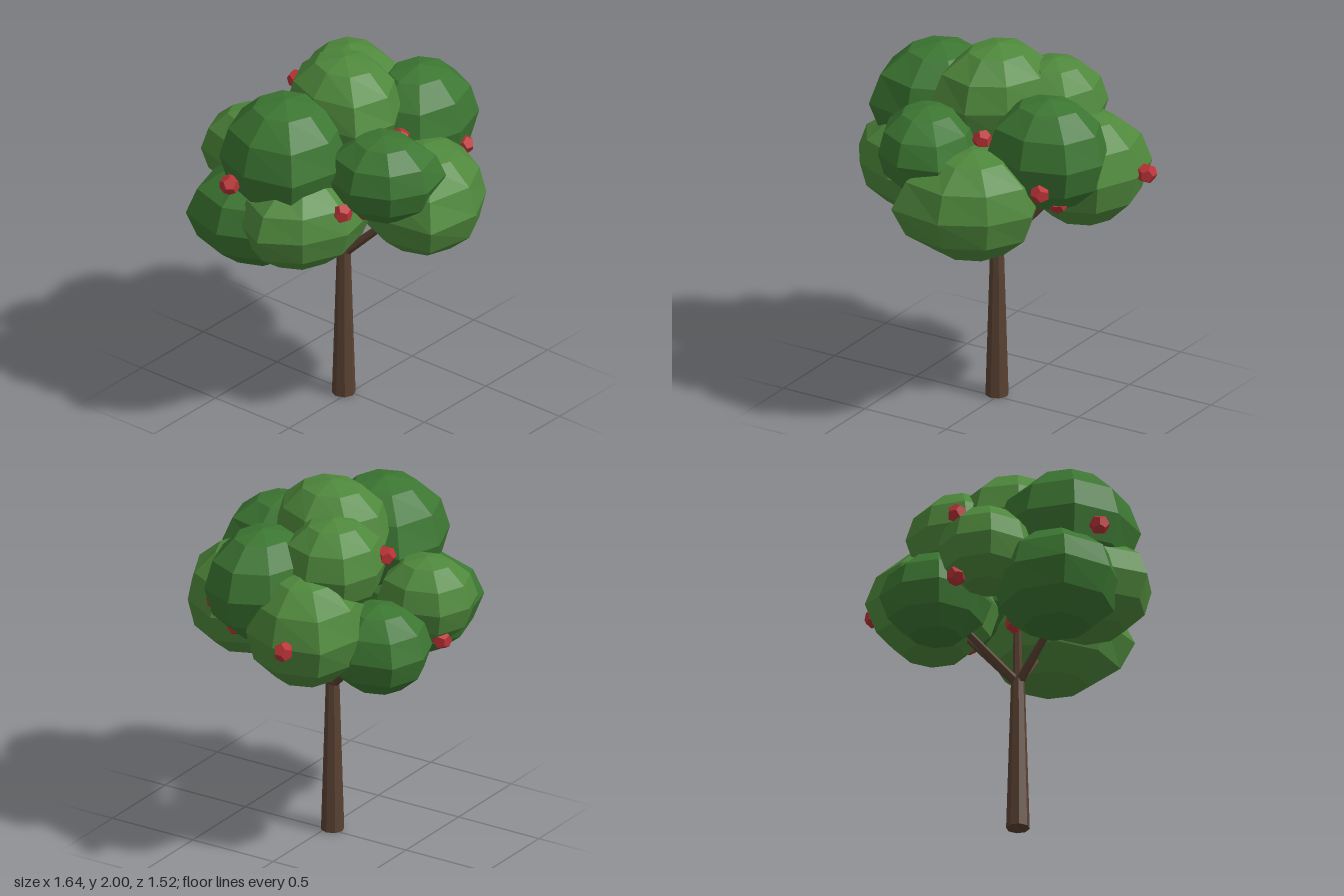
import * as THREE from 'three';

const mat = (color) => new THREE.MeshStandardMaterial({ color, flatShading: true });

// Faceted leaf ball: eight columns, six rings; corners give the fullness of the
// four diagonals in the order front left, front right, back left, back right
function leafBall(corners) {
  const geo = new THREE.SphereGeometry(1, 8, 6);
  const p = geo.attributes.position;
  for (let i = 0; i < p.count; i++) {
    const x = p.getX(i), z = p.getZ(i);
    const fullness = corners[(z < 0 ? 2 : 0) + (x < 0 ? 1 : 0)];
    const swell = 1 + 2 * Math.abs(x * z) * (fullness - 1);
    p.setXYZ(i, x * swell, p.getY(i), z * swell);
  }
  return geo;
}

// Tapered limb between two points
function limb(name, from, to, r0, r1, sides, material) {
  const a = new THREE.Vector3(...from), b = new THREE.Vector3(...to);
  const dir = b.clone().sub(a);
  const mesh = new THREE.Mesh(new THREE.CylinderGeometry(r1, r0, dir.length(), sides), material);
  mesh.name = name;
  mesh.position.copy(a).add(b).multiplyScalar(0.5);
  mesh.quaternion.setFromUnitVectors(new THREE.Vector3(0, 1, 0), dir.normalize());
  return mesh;
}

export function createModel() {
  const tree = new THREE.Group();
  tree.name = 'fruitTree';
  const bark = mat(0x5a4232), light = mat(0x4f883c), dark = mat(0x3c7632), red = mat(0xb83236);

  // Trunk and branches
  tree.add(limb('trunk', [-0.02, 0, -0.03], [-0.02, 0.86, -0.03], 0.062, 0.036, 8, bark));
  const branchEnds = [
    [0.12, 1.28, 0.42], [-0.43, 1.25, -0.08], [0.43, 1.34, -0.16],
    [0.19, 1.22, -0.45], [-0.01, 1.6, -0.03],
  ];
  for (const end of branchEnds) {
    tree.add(limb('branch', [-0.02, 0.83, -0.03], end, 0.026, 0.014, 6, bark));
  }

  // Foliage: centre, radii, diagonal fullness, material
  const foliage = [
    [[-0.01, 1.71, -0.03], [0.295, 0.29, 0.335], [0.92, 1.17, 1.06, 0.98], light], // crown
    [[0.23, 1.65, -0.2], [0.27, 0.26, 0.27], [1.06, 1.06, 1.06, 1.06], light],
    [[-0.41, 1.57, -0.1], [0.34, 0.32, 0.34], [1.02, 1.13, 1.1, 1.02], dark],
    [[0.4, 1.53, 0.13], [0.33, 0.305, 0.285], [1.03, 1.08, 1, 1.06], dark],
    [[-0.19, 1.51, 0.38], [0.27, 0.24, 0.3], [1.15, 0.94, 1, 1.1], dark],
    [[0.11, 1.28, 0.41], [0.36, 0.3, 0.35], [0.91, 1.23, 1, 1], light],
    [[-0.45, 1.26, 0.05], [0.37, 0.26, 0.31], [1.1, 0.91, 1, 1], light],
    [[-0.45, 1.2, -0.24], [0.355, 0.28, 0.35], [1.06, 0.97, 0.97, 1.1], dark],
    [[0.43, 1.355, -0.16], [0.325, 0.315, 0.32], [1, 1.06, 1.14, 1.04], light],
    [[-0.2, 1.37, -0.5], [0.24, 0.235, 0.265], [1.06, 1.06, 1.06, 1.06], light],
    [[0.19, 1.22, -0.45], [0.26, 0.245, 0.285], [1.05, 1.08, 1.1, 1.05], dark],
  ];
  for (const [pos, radii, corners, material] of foliage) {
    const mesh = new THREE.Mesh(leafBall(corners), material);
    mesh.name = 'foliage';
    mesh.position.set(...pos);
    mesh.scale.set(...radii);
    tree.add(mesh);
  }

  // Fruit
  const fruitGeo = new THREE.DodecahedronGeometry(0.055);
  const fruit = [
    [0.77, 1.36, -0.24], [-0.72, 1.47, -0.22], [0.49, 1.4, 0.36], [0.51, 1.3, 0.22],
    [-0.45, 1.375, 0.32], [-0.27, 1.32, 0.32], [0.08, 1.58, 0.27], [0.07, 1.69, -0.42],
    [-0.11, 1.2, -0.65], [-0.14, 1.08, -0.2],
  ];
  fruit.forEach((pos, i) => {
    const mesh = new THREE.Mesh(fruitGeo, red);
    mesh.name = 'fruit';
    mesh.position.set(...pos);
    mesh.rotation.y = i * 0.7;
    tree.add(mesh);
  });
  return tree;
}
